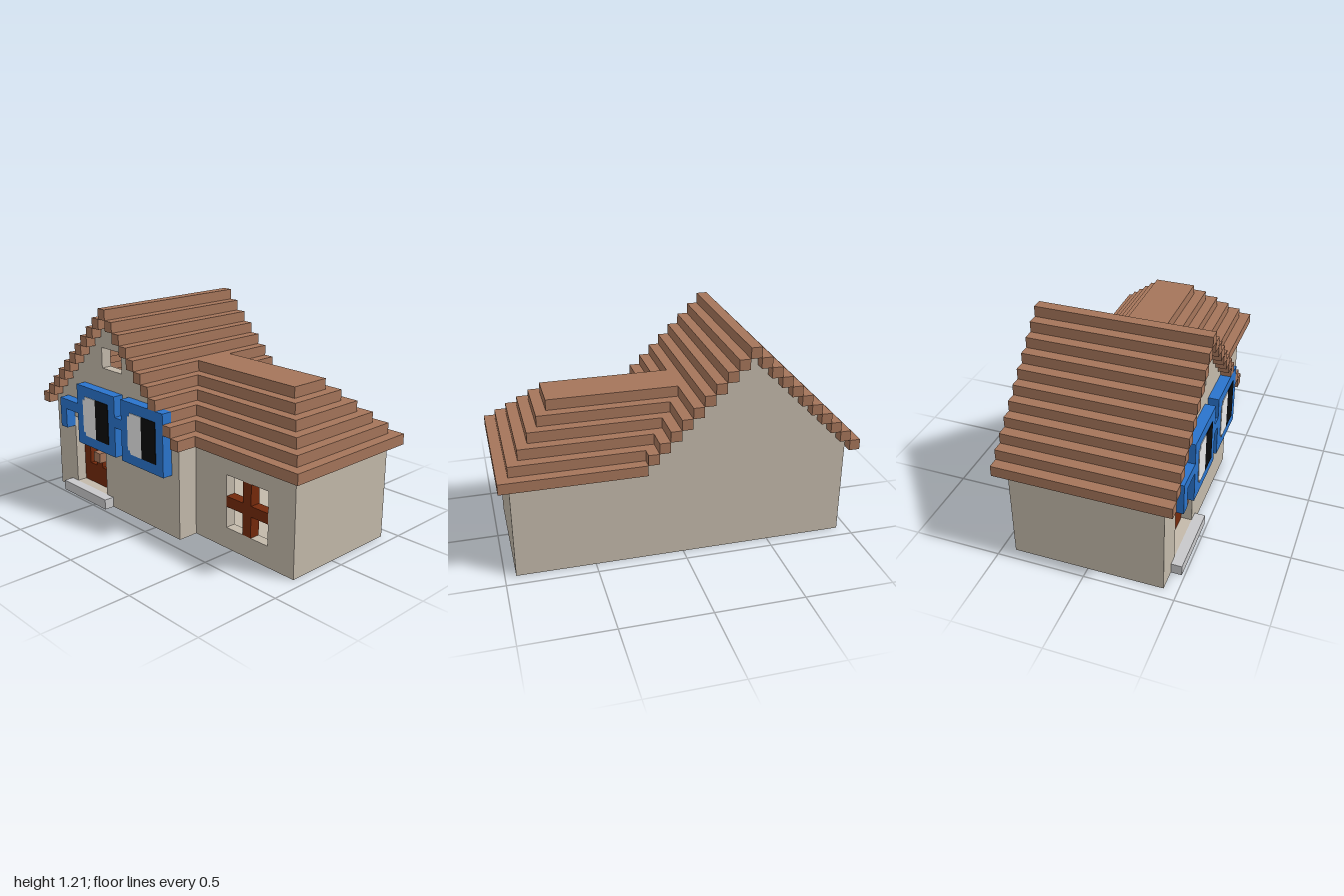
import * as THREE from 'three';

// Everything is laid out on a block grid: 16 wide, 20 high, 33 deep
const U = 2 / 33;

const mat = (name, color) => {
  const m = new THREE.MeshStandardMaterial({ color });
  m.name = name;
  return m;
};

export function createModel() {
  const wall = mat('plaster', 0xc3b9aa);
  const tile = mat('roof tile', 0xa5755a);
  const blue = mat('blue frame', 0x2a74cc);
  const stone = mat('stone', 0xc8c8ca);
  const wood = mat('dark red wood', 0x74290b);
  const white = mat('eye white', 0xf0f0f0);
  const black = mat('pupil black', 0x0a0a0a);

  const model = new THREE.Group();
  model.name = 'cottage';
  const grid = new THREE.Group();
  grid.name = 'house';
  grid.scale.setScalar(U);
  grid.position.set(-8 * U, 0, -16.5 * U);
  model.add(grid);

  const add = (name, geometry, material) => {
    const mesh = new THREE.Mesh(geometry, material);
    mesh.name = name;
    grid.add(mesh);
    return mesh;
  };

  // Box from two opposite grid corners
  const box = (name, m, x0, y0, z0, x1, y1, z1) =>
    add(name, new THREE.BoxGeometry(x1 - x0, y1 - y0, z1 - z0)
      .translate((x0 + x1) / 2, (y0 + y1) / 2, (z0 + z1) / 2), m);

  // Upright slab drawn as (z, y) points, filling x0..x1
  const rect = (z0, y0, z1, y1) => [[z0, y0], [z1, y0], [z1, y1], [z0, y1]];
  const vec = (pts) => pts.map(([a, b]) => new THREE.Vector2(a, b));
  const slab = (name, m, x0, x1, outline, holes = []) => {
    const shape = new THREE.Shape(vec(outline));
    holes.forEach((h) => shape.holes.push(new THREE.Path(vec(h))));
    const g = new THREE.ExtrudeGeometry(shape, { depth: x1 - x0, bevelEnabled: false });
    return add(name, g.rotateY(-Math.PI / 2).translate(x1, 0, 0), m);
  };

  // Stepped gable outline, optionally with the low wing wall at its front
  const gable = (wing) => {
    const pts = wing ? [[1, 0], [32, 0], [32, 9], [20, 9]] : [[1, 0], [20, 0]];
    for (let k = 10; k >= 1; k--) {
      if (k < 10) pts.push([10 + k, 19 - k]);
      pts.push([10 + k, 20 - k]);
    }
    for (let k = 1; k <= 10; k++) {
      pts.push([11 - k, 20 - k]);
      if (k < 10) pts.push([11 - k, 19 - k]);
    }
    return pts;
  };

  // Walls and floor
  slab('leftGableWall', wall, 14, 15, gable(true));
  slab('rightGableWall', wall, 1, 2, gable(false), [rect(4, 1, 9, 8), rect(9, 14, 12, 16)]);
  slab('wingSideWall', wall, 3, 4, rect(20, 0, 32, 9), [rect(24, 2, 29, 7)]);
  box('wingFrontWall', wall, 4, 0, 31, 14, 9, 32);
  box('backWall', wall, 2, 0, 1, 14, 9, 2);
  box('returnWall', wall, 2, 0, 19, 4, 9, 20);
  box('mainFloor', wall, 2, 0, 2, 14, 1, 19);
  box('wingFloor', wall, 4, 0, 19, 14, 1, 31);

  // Main roof: a ridge and ten stepped courses on each slope
  box('ridge', tile, 0, 19, 10, 16, 20, 11);
  for (let k = 1; k <= 10; k++) {
    const y = 19 - k;
    box('backRoofCourse', tile, 0, y, 10 - k, 16, y + 1, 11 - k);
    // One course stops short where the blue frame pokes through
    box('frontRoofCourse', tile, y === 11 ? 1 : 0, y, 10 + k, 16, y + 1, 11 + k);
  }

  // Hipped wing roof: six shrinking layers
  for (let i = 0; i < 6; i++) {
    box('wingRoofLayer', tile, 2 + i, 9 + i, 21 - i, 16 - i, 10 + i, 33 - i);
  }

  // Door set back in its opening, with handle and step
  slab('doorFrame', wood, 2, 3, rect(4, 1, 9, 8), [rect(5, 3, 6, 7), rect(7, 3, 8, 7)]);
  box('doorPanel', wood, 3, 1, 4, 3.3, 8, 9);
  box('doorHandle', tile, 1, 4, 7, 2, 5, 8);
  box('doorStep', stone, 0, 0, 3, 1, 1, 10);

  // Cross bars of the wing window
  box('windowCrossbar', wood, 3, 4, 24, 4, 5, 29);
  box('windowMullion', wood, 3, 2, 26, 4, 4, 27);
  box('windowMullion', wood, 3, 5, 26, 4, 7, 27);

  // Large blue spectacles with eyes, hung on the gable wall
  for (const z of [6, 13]) {
    box('spectacleFrame', blue, 0, 6, z, 1, 12, z + 6);
    const n = 0.35;
    slab('eyeWhite', white, -0.06, 0, [
      [z + 1 + n, 7], [z + 3, 7], [z + 3, 11], [z + 1 + n, 11],
      [z + 1 + n, 11 - n], [z + 1, 11 - n], [z + 1, 7 + n], [z + 1 + n, 7 + n],
    ]);
    slab('pupil', black, -0.06, 0, rect(z + 3, 7, z + 5, 11));
  }
  box('spectacleBridge', blue, 0, 9, 12, 1, 10, 13);
  box('spectacleHinge', blue, 0, 9, 4, 1, 10, 6);
  box('spectacleArm', blue, 0, 7, 3, 1, 10, 4);

  return model;
}
